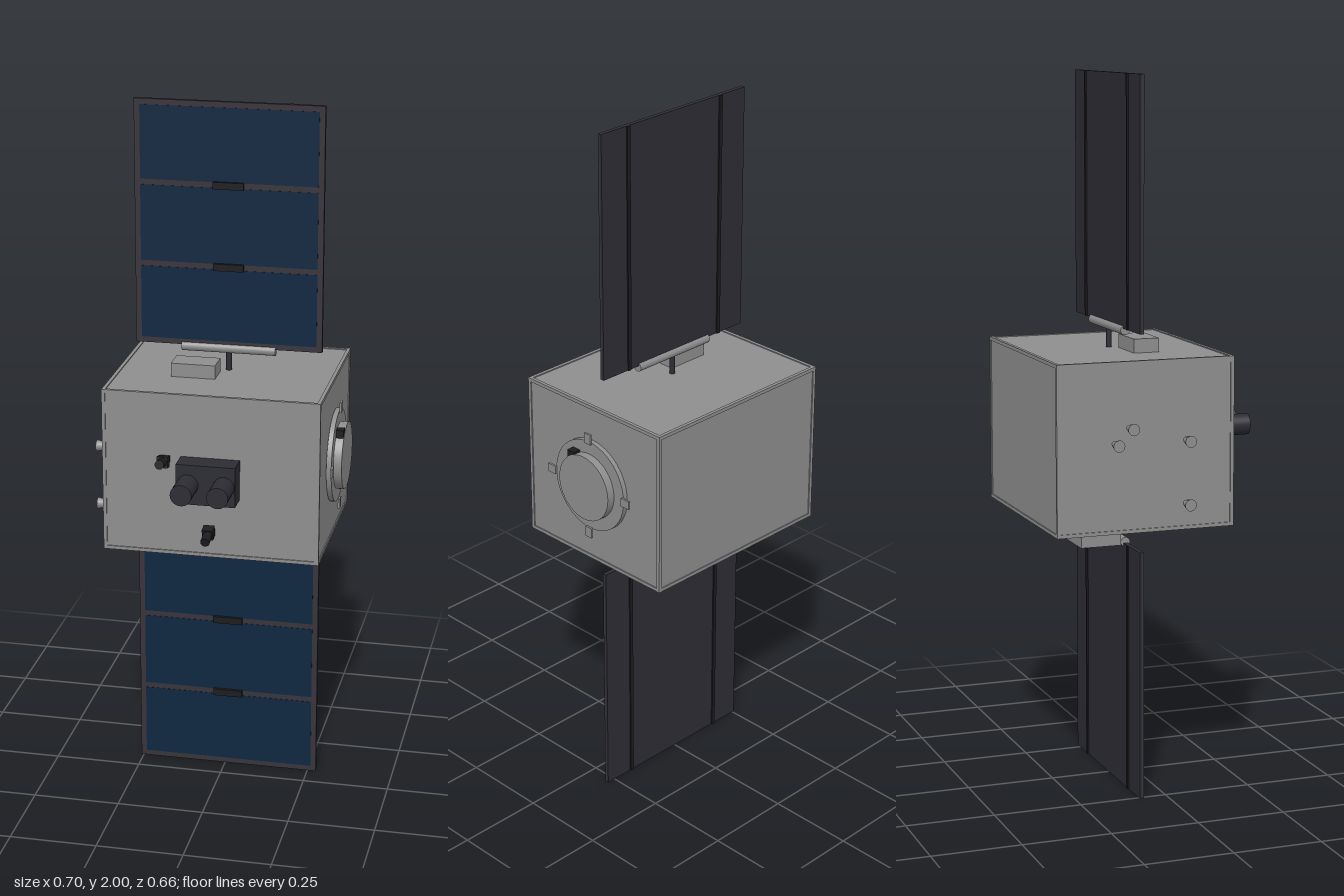
import * as THREE from 'three';

const mat = (name, color) => {
  const m = new THREE.MeshStandardMaterial({ color });
  m.name = name;
  return m;
};

export function createModel() {
  const grey = mat('hull grey', 0x8e8e8e);
  const dark = mat('dark charcoal', 0x2c2c34);
  const frameMat = mat('panel frame', 0x37333a);
  const blue = mat('solar cell blue', 0x0d2640);
  const black = mat('near black', 0x1c1c20);

  const root = new THREE.Group();
  root.name = 'satellite';
  const CX = 0.009, CY = 1.005, CZ = -0.073;

  const add = (name, geo, material, x, y, z, parent = root) => {
    const m = new THREE.Mesh(geo, material);
    m.name = name;
    m.position.set(x, y, z);
    parent.add(m);
    return m;
  };
  // box given by its minimum and maximum corners
  const box = (name, material, a, b, parent = root) =>
    add(name, new THREE.BoxGeometry(b[0] - a[0], b[1] - a[1], b[2] - a[2]), material,
      (a[0] + b[0]) / 2, (a[1] + b[1]) / 2, (a[2] + b[2]) / 2, parent);
  // cylinder lying along x or z, r1 at the positive end
  const rod = (name, material, axis, r1, r2, len, x, y, z, parent = root, seg = 32) => {
    const g = new THREE.CylinderGeometry(r1, r2, len, seg);
    if (axis === 'x') g.rotateZ(-Math.PI / 2);
    if (axis === 'z') g.rotateX(Math.PI / 2);
    return add(name, g, material, x, y, z, parent);
  };

  // hull: slightly recessed faces inside a frame of edge beams
  const lo = [-0.297, 0.768, -0.33], hi = [0.315, 1.24, 0.181];
  const hull = new THREE.Group();
  hull.name = 'hull';
  root.add(hull);
  const t = 0.01, inset = 0.003;
  box('hullCore', grey, lo.map(v => v + inset), hi.map(v => v - inset), hull);
  for (let axis = 0; axis < 3; axis++) {
    const u = (axis + 1) % 3, v = (axis + 2) % 3;
    for (const su of [0, 1]) for (const sv of [0, 1]) {
      const a = [...lo], b = [...hi];
      if (su) a[u] = hi[u] - t; else b[u] = lo[u] + t;
      if (sv) a[v] = hi[v] - t; else b[v] = lo[v] + t;
      box('edgeBeam', grey, a, b, hull);
    }
  }

  // equipment boxes above and below
  box('topBox', grey, [-0.137, 1.235, -0.052], [-0.011, 1.276, 0.022]);
  box('bottomBox', grey, [-0.203, 0.715, -0.23], [-0.07, 0.772, -0.115]);

  // solar wings: the lower one mirrors the upper one's layout
  const wing = (name, y0, y1, hingeY, hullY) => {
    const g = new THREE.Group();
    g.name = name;
    root.add(g);
    const x0 = -0.257, x1 = 0.275, zB = -0.079, zF = -0.067;
    box('panelBack', dark, [x0, y0, zB], [x1, y1, zB + 0.006], g);
    box('panelFrame', frameMat, [x0, y0, zB + 0.006], [x1, y1, zF], g);
    const h = (y1 - y0) / 3;
    for (let i = 0; i < 3; i++) {
      const a = y0 + i * h + (i === 0 ? 0.016 : 0.008);
      const b = y0 + (i + 1) * h - (i === 2 ? 0.016 : 0.008);
      box('solarCells', blue, [x0 + 0.016, a, zF - 0.001], [x1 - 0.016, b, zF + 0.001], g);
      if (i > 0) {
        box('panelHinge', black,
          [-0.034, y0 + i * h - 0.01, zF - 0.002], [0.052, y0 + i * h + 0.01, -0.057], g);
      }
    }
    // stiffeners on the back
    for (const x of [-0.163, 0.18]) {
      box('stiffener', black, [x - 0.0055, y0, zB - 0.004], [x + 0.0055, y1, zB + 0.001], g);
    }
    rod('rootTube', grey, 'x', 0.0135, 0.0135, 0.268, CX, hingeY, CZ, g, 24);
    add('wingStrut', new THREE.CylinderGeometry(0.008, 0.008, Math.abs(hingeY - hullY) + 0.01, 16),
      dark, CX, (hingeY + hullY) / 2, CZ, g);
  };
  wing('upperWing', 1.305, 2.0, 1.3, 1.24);
  wing('lowerWing', 0, 0.702, 0.705, 0.768);

  // docking ring on the left side
  const dock = new THREE.Group();
  dock.name = 'dockingRing';
  root.add(dock);
  rod('ringPlate', grey, 'x', 0.133, 0.133, 0.014, 0.32, CY, CZ, dock, 48);
  rod('ringDisc', grey, 'x', 0.096, 0.096, 0.026, 0.337, CY, CZ, dock, 48);
  for (let i = 0; i < 4; i++) {
    const a = i * Math.PI / 2;
    const clip = add('ringClip', new THREE.BoxGeometry(0.006, 0.03, 0.024), grey,
      0.331, CY + 0.144 * Math.cos(a), CZ + 0.144 * Math.sin(a), dock);
    clip.rotation.x = a;
  }
  box('ringSensor', black, [0.327, 1.072, -0.037], [0.349, 1.1, -0.01], dock);

  // main twin camera
  box('cameraHousing', dark, [-0.074, 0.945, 0.175], [0.092, 1.06, 0.243]);
  for (const x of [-0.041, 0.06]) {
    rod('cameraLens', dark, 'z', 0.03, 0.03, 0.09, x, 1.002, 0.282);
  }

  // small tilted cameras
  for (const [x, y, tilt] of [[-0.118, 1.05, -0.15], [CX, 0.85, 0.25]]) {
    const g = new THREE.Group();
    g.name = 'smallCamera';
    g.position.set(x, y, 0.203);
    g.rotation.x = tilt;
    root.add(g);
    add('smallCameraBody', new THREE.BoxGeometry(0.031, 0.031, 0.027), black, 0, 0, 0, g);
    rod('smallCameraLens', black, 'z', 0.013, 0.013, 0.035, 0, 0, 0.03, g, 20);
  }

  // thruster nozzles on the right side, flaring outwards
  for (const [y, z] of [[1.062, -0.13], [1.02, -0.172], [1.02, 0.034], [0.845, 0.034]]) {
    rod('thruster', grey, 'x', 0.008, 0.0165, 0.04, -0.331, y, z, root, 20);
  }
  return root;
}
